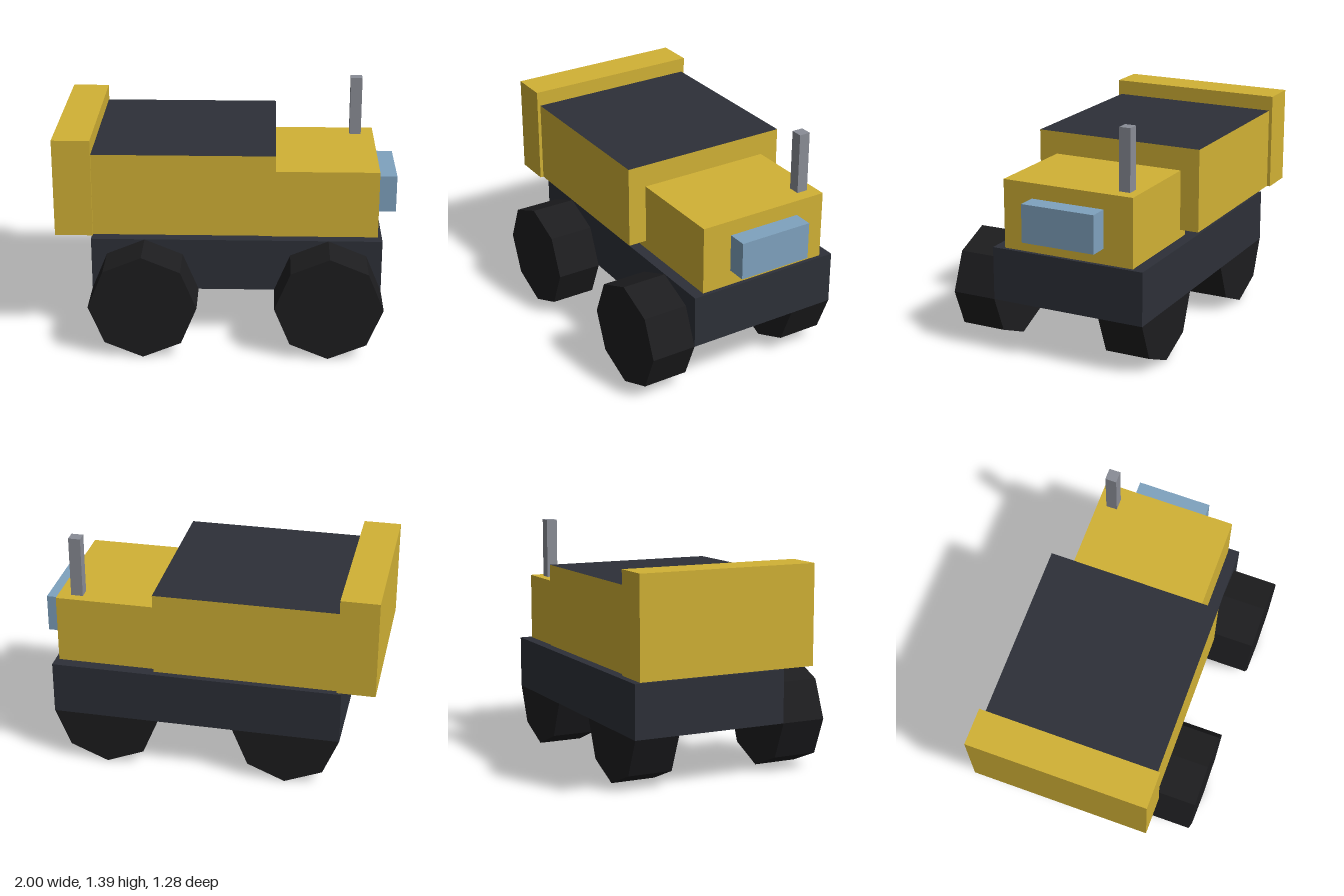
import * as THREE from 'three';

const paint = (color) => new THREE.MeshStandardMaterial({ color, side: THREE.DoubleSide, flatShading: true });
const yellow = paint(0xd1b135);
const dark = paint(0x2d3038);
const rubber = paint(0x1d1d1f);
const glass = paint(0x7fa2be);
const steel = paint(0x8a8d96);

const FACES = ['+x', '-x', '+y', '-y', '+z', '-z'];

// Box between two limits on each axis, keeping only the faces not listed as open
function box(name, material, [x0, x1], [y0, y1], [z0, z1], open = []) {
  const geo = new THREE.BoxGeometry(x1 - x0, y1 - y0, z1 - z0);
  const all = Array.from(geo.index.array);
  geo.setIndex(FACES.flatMap((f, i) => (open.includes(f) ? [] : all.slice(i * 6, i * 6 + 6))));
  geo.clearGroups();
  const mesh = new THREE.Mesh(geo, material);
  mesh.name = name;
  mesh.position.set((x0 + x1) / 2, (y0 + y1) / 2, (z0 + z1) / 2);
  return mesh;
}

// Eight-sided wheel with its axle along z
function wheel(name, x, z) {
  const geo = new THREE.CylinderGeometry(0.315, 0.315, 0.27, 8);
  geo.rotateX(Math.PI / 2);
  const mesh = new THREE.Mesh(geo, rubber);
  mesh.name = name;
  mesh.position.set(x, 0.315, z);
  return mesh;
}

export function createModel() {
  const truck = new THREE.Group();
  truck.name = 'dumpTruck';

  // Chassis, hollow from below
  truck.add(box('chassis', dark, [-0.8, 0.907], [0.315, 0.63], [-0.574, 0.37], ['-y']));

  // Load bed with its dark filled top
  const bedX = [-0.89, 0.28], bedY = [0.68, 1.17], bedZ = [-0.62, 0.415];
  truck.add(box('bedWalls', yellow, bedX, bedY, bedZ, ['+y']));
  truck.add(box('bedLoad', dark, bedX, bedY, bedZ, ['+x', '-x', '-y', '+z', '-z']));

  // Tall tailgate cap over the end of the bed
  truck.add(box('tailgate', yellow, [-1, -0.78], [0.68, 1.26], [-0.64, 0.435], ['-y']));

  // Cab, window shell and exhaust
  truck.add(box('cab', yellow, [0.213, 0.884], [0.63, 1.035], [-0.505, 0.303]));
  truck.add(box('window', glass, [0.884, 1], [0.722, 0.945], [-0.327, 0.123], ['-x', '-y']));
  truck.add(box('exhaust', steel, [0.738, 0.808], [1.035, 1.395], [-0.45, -0.383]));

  // Wheels: one pair outside the chassis, one pair flush beneath it
  for (const [end, x] of [['rear', -0.485], ['front', 0.592]]) {
    truck.add(wheel(`${end}OuterWheel`, x, 0.506));
    truck.add(wheel(`${end}InnerWheel`, x, -0.438));
  }
  return truck;
}
